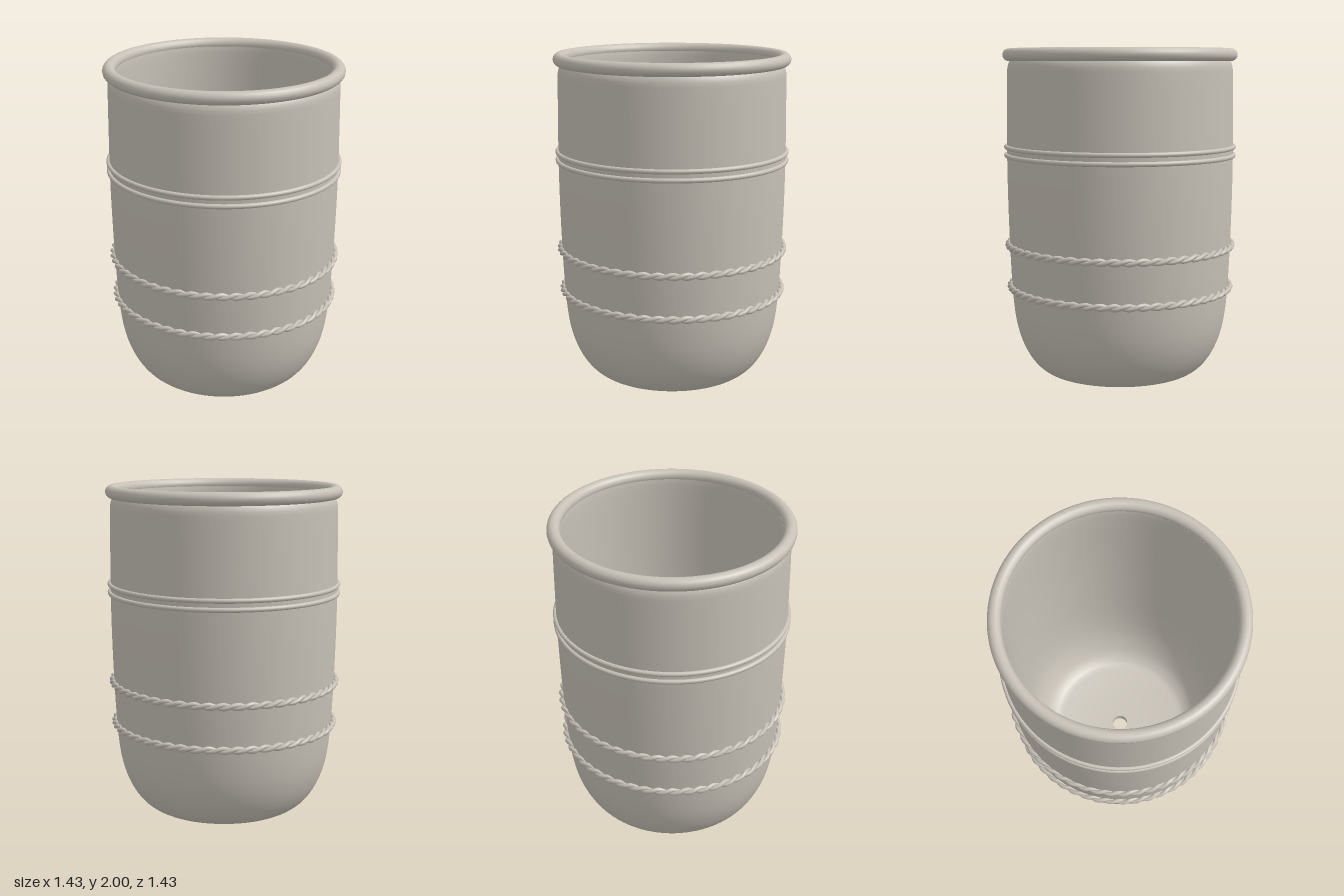
import * as THREE from 'three';
import { toCreasedNormals } from 'three/addons/utils/BufferGeometryUtils.js';

const V = (x, y) => new THREE.Vector2(x, y);

// One strand of a rope: a closed helix wound around a horizontal circle
class StrandCurve extends THREE.Curve {
  constructor(radius, y, offset, turns, phase) {
    super();
    Object.assign(this, { radius, y, offset, turns, phase });
  }
  getPoint(t, target = new THREE.Vector3()) {
    const a = t * Math.PI * 2;
    const w = a * this.turns + this.phase;
    const r = this.radius + Math.cos(w) * this.offset;
    return target.set(Math.sin(a) * r, this.y + Math.sin(w) * this.offset, Math.cos(a) * r);
  }
}

export function createModel() {
  const clay = new THREE.MeshStandardMaterial({ color: 0xc6c0b6 });
  clay.name = 'grey clay';
  const group = new THREE.Group();
  group.name = 'planter';

  const add = (name, geometry, parent = group) => {
    const mesh = new THREE.Mesh(geometry, clay);
    mesh.name = name;
    parent.add(mesh);
    return mesh;
  };

  // Hollow body with a round foot, slight belly and a drain hole
  const outside = new THREE.SplineCurve([
    V(0.42, 0), V(0.48, 0.018), V(0.545, 0.075), V(0.6, 0.165), V(0.64, 0.28), V(0.663, 0.42),
    V(0.677, 0.62), V(0.686, 0.85), V(0.692, 1.1), V(0.694, 1.35), V(0.691, 1.6),
    V(0.687, 1.84), V(0.682, 1.9), V(0.665, 1.935),
  ]).getPoints(60);
  const inside = new THREE.SplineCurve([
    V(0.64, 1.95), V(0.636, 1.85), V(0.638, 1.35), V(0.634, 1.0), V(0.625, 0.65),
    V(0.607, 0.42), V(0.575, 0.26), V(0.52, 0.13), V(0.46, 0.07), V(0.41, 0.055),
  ]).getPoints(50);
  const profile = [V(0.05, 0), ...outside, ...inside, V(0.05, 0.055), V(0.05, 0)];
  add('body', toCreasedNormals(new THREE.LatheGeometry(profile, 96), 0.6));

  // Horizontal rings: a thick rolled rim and a pair of thin bands
  const ring = (name, radius, tube, y) => {
    const geometry = new THREE.TorusGeometry(radius, tube, 16, 96);
    geometry.rotateX(Math.PI / 2);
    add(name, geometry).position.y = y;
  };
  ring('rim', 0.676, 0.038, 1.962);
  ring('upperBand', 0.698, 0.014, 1.407);
  ring('lowerBand', 0.698, 0.014, 1.356);

  // Twisted two-strand ropes around the lower body
  const rope = (name, radius, y) => {
    const coil = new THREE.Group();
    coil.name = name;
    for (let i = 0; i < 2; i++) {
      const curve = new StrandCurve(radius, y, 0.0105, 26, i * Math.PI);
      add('strand', new THREE.TubeGeometry(curve, 420, 0.0135, 8, true), coil);
    }
    group.add(coil);
  };
  rope('upperRope', 0.69, 0.802);
  rope('lowerRope', 0.68, 0.541);

  return group;
}
